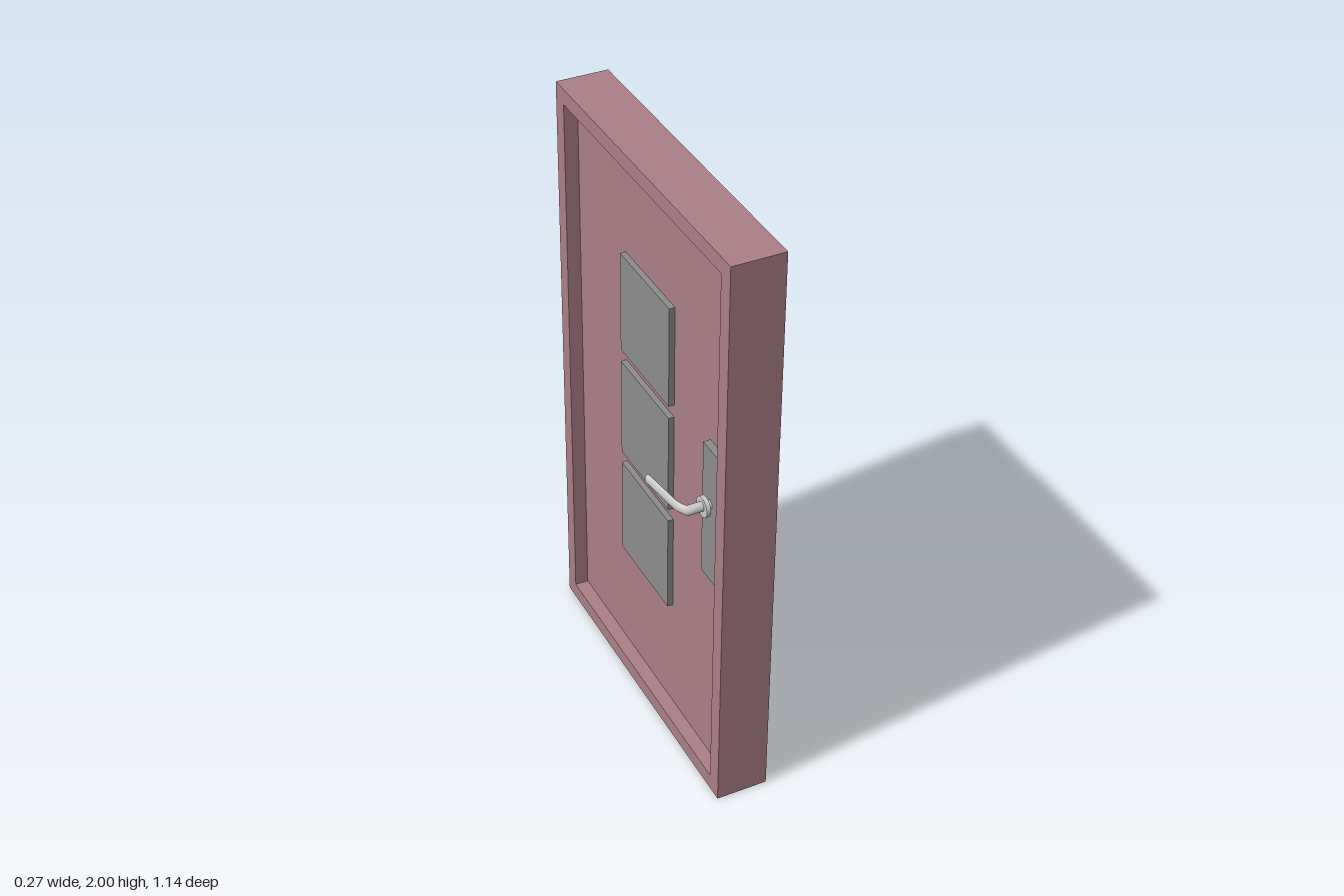
import * as THREE from 'three';

const wood = new THREE.MeshStandardMaterial({ color: 0xaa8087 });
const dark = new THREE.MeshStandardMaterial({ color: 0x8d8d8d });
const metal = new THREE.MeshStandardMaterial({ color: 0xcccccc });

// Box given by its minimum and maximum corners
function box(name, material, [x0, y0, z0], [x1, y1, z1]) {
  const mesh = new THREE.Mesh(new THREE.BoxGeometry(x1 - x0, y1 - y0, z1 - z0), material);
  mesh.position.set((x0 + x1) / 2, (y0 + y1) / 2, (z0 + z1) / 2);
  mesh.name = name;
  return mesh;
}

// Cylinder lying along x between x0 and x1
function disc(name, radius, x0, x1, y, z) {
  const geometry = new THREE.CylinderGeometry(radius, radius, x1 - x0, 32).rotateZ(Math.PI / 2);
  const mesh = new THREE.Mesh(geometry, metal);
  mesh.position.set((x0 + x1) / 2, y, z);
  mesh.name = name;
  return mesh;
}

function rectangle(path, x0, y0, x1, y1) {
  path.moveTo(x0, y0).lineTo(x1, y0).lineTo(x1, y1).lineTo(x0, y1).closePath();
  return path;
}

// Loft of oval sections; each is [inner x, inner z, outer x, outer z, y, half height]
function loft(sections, sides = 20) {
  const positions = [], index = [];
  for (const [ix, iz, ox, oz, y, h] of sections) {
    for (let j = 0; j < sides; j++) {
      const a = (j / sides) * Math.PI * 2;
      const t = (1 + Math.cos(a)) / 2;
      positions.push(ix + (ox - ix) * t, y + h * Math.sin(a), iz + (oz - iz) * t);
    }
  }
  for (let i = 0; i < sections.length - 1; i++) {
    for (let j = 0; j < sides; j++) {
      const a = i * sides + j, b = i * sides + (j + 1) % sides;
      index.push(a, b, a + sides, b, b + sides, a + sides);
    }
  }
  // Flat end at the tip
  const last = (sections.length - 1) * sides;
  for (let j = 1; j < sides - 1; j++) index.push(last, last + j, last + j + 1);
  const geometry = new THREE.BufferGeometry();
  geometry.setAttribute('position', new THREE.Float32BufferAttribute(positions, 3));
  geometry.setIndex(index);
  geometry.computeVertexNormals();
  return geometry;
}

export function createModel() {
  const model = new THREE.Group();
  model.name = 'door';

  // Frame: rectangle with an opening, extruded through the wall thickness
  const outline = rectangle(new THREE.Shape(), -0.57, 0, 0.57, 2);
  outline.holes.push(rectangle(new THREE.Path(), -0.516, 0.055, 0.516, 1.948));
  const frameGeometry = new THREE.ExtrudeGeometry(outline, { depth: 0.173, bevelEnabled: false });
  const frame = new THREE.Mesh(frameGeometry.rotateY(Math.PI / 2), wood);
  frame.position.x = -0.04;
  frame.name = 'frame';
  model.add(frame);

  // Door leaf, recessed on both sides
  model.add(box('leaf', wood, [0.006, 0.055, -0.516], [0.065, 1.948, 0.516]));

  // Three raised square panels
  for (let i = 0; i < 3; i++) {
    const y = 0.467 + i * 0.394;
    model.add(box('squarePanel', dark, [-0.013, y, -0.183], [0.008, y + 0.35, 0.15]));
  }

  // Handle: back plate, spindle, rosette and bent lever
  const handle = new THREE.Group();
  handle.name = 'handle';
  handle.add(box('backPlate', dark, [-0.018, 0.806, 0.387], [0.008, 1.288, 0.487]));
  handle.add(disc('spindle', 0.015, -0.04, -0.015, 1.09, 0.436));
  handle.add(disc('rosette', 0.034, -0.045, -0.031, 1.09, 0.436));
  const lever = new THREE.Mesh(loft([
    [-0.04, 0.421, -0.04, 0.452, 1.093, 0.016],
    [-0.088, 0.421, -0.096, 0.452, 1.093, 0.016],
    [-0.093, 0.415, -0.102, 0.442, 1.093, 0.016],
    [-0.102, 0.397, -0.117, 0.41, 1.093, 0.017],
    [-0.104, 0.385, -0.12, 0.392, 1.092, 0.017],
    [-0.117, 0.25, -0.134, 0.25, 1.087, 0.017],
    [-0.118, 0.242, -0.135, 0.24, 1.087, 0.016],
    [-0.121, 0.238, -0.132, 0.237, 1.087, 0.012],
  ]), metal);
  lever.material = metal.clone();
  lever.material.side = THREE.DoubleSide;
  lever.name = 'lever';
  handle.add(lever);
  model.add(handle);

  return model;
}
